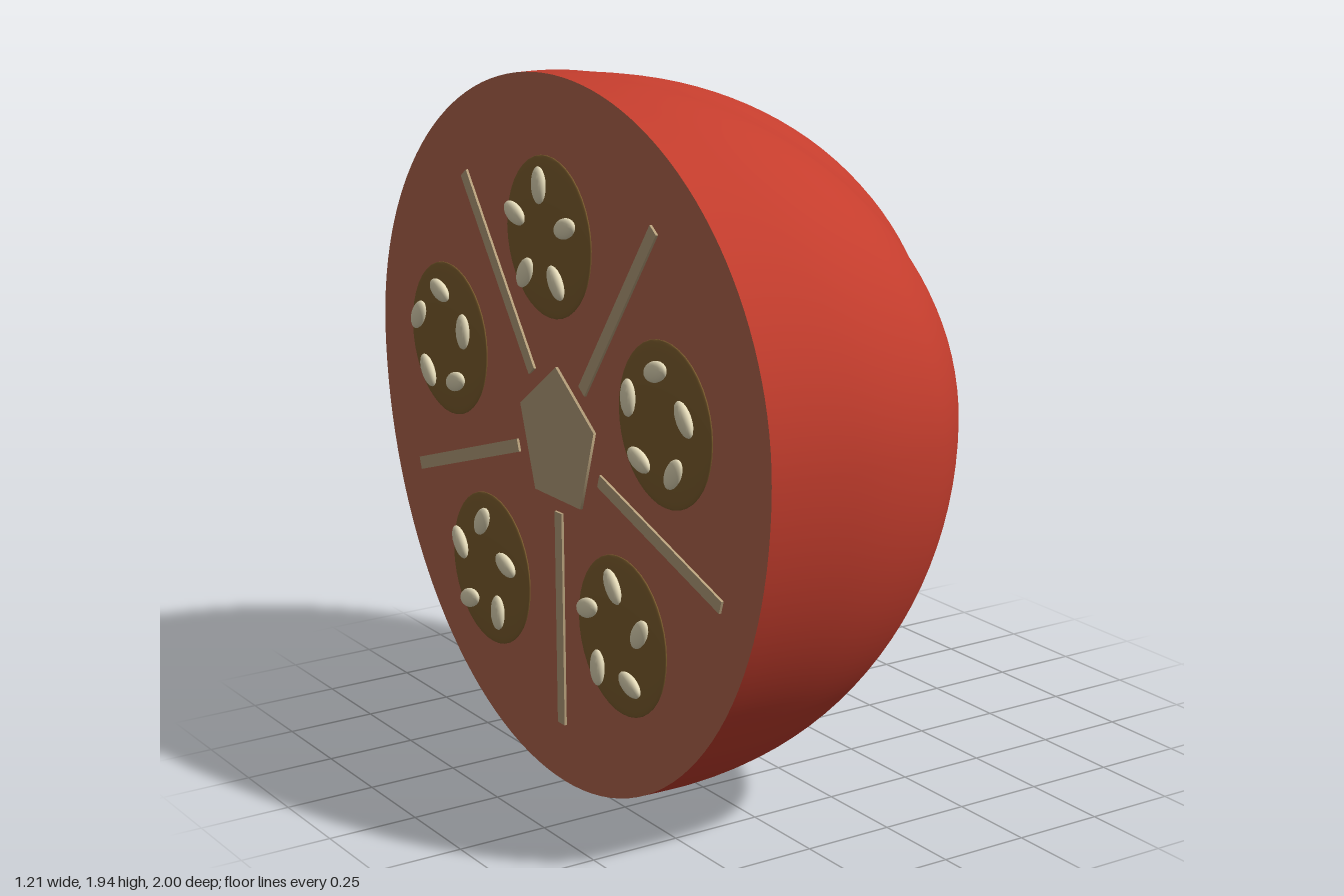
import * as THREE from 'three';

const mat = (name, color) => {
  const m = new THREE.MeshStandardMaterial({ color });
  m.name = name;
  return m;
};

const CUT_X = -0.54;
const MID_Y = 1.08; // height of the widest ring
const TOP = 0.86;
const BOTTOM = 1.08;

// Height of the skin for a latitude angle
const heightAt = (a) => MID_Y + (a > 0 ? TOP : BOTTOM) * Math.sin(a);

// Lobed half outline at the widest ring, [distance from cut, z]
function lobedOutline() {
  const half = [[0, 0.99], [0.29, 0.998], [0.49, 0.96], [0.62, 0.89], [0.75, 0.75],
    [0.83, 0.59], [0.92, 0.43], [1.05, 0.245]];
  const pts = half.map(([x, z]) => new THREE.Vector2(x, z));
  const mirrored = half.map(([x, z]) => new THREE.Vector2(x, -z)).reverse();
  return new THREE.SplineCurve([...pts, new THREE.Vector2(1.14, 0), ...mirrored]);
}

// Skin: the outline shrunk towards both poles
function skinGeometry(cols = 96, rows = 64) {
  const outline = lobedOutline().getPoints(cols);
  const pos = [];
  const idx = [];
  for (let j = 0; j <= rows; j++) {
    const a = -Math.PI / 2 + (Math.PI * j) / rows;
    const s = Math.cos(a);
    for (const p of outline) pos.push(CUT_X + p.x * s, heightAt(a), p.y * s);
  }
  const w = cols + 1;
  for (let j = 0; j < rows; j++) {
    for (let i = 0; i < cols; i++) {
      const a = j * w + i;
      const b = a + 1;
      const c = a + w;
      const d = c + 1;
      if (j > 0) idx.push(a, b, c);
      if (j < rows - 1) idx.push(b, d, c);
    }
  }
  const g = new THREE.BufferGeometry();
  g.setAttribute('position', new THREE.Float32BufferAttribute(pos, 3));
  g.setIndex(idx);
  g.computeVertexNormals();
  return g;
}

// Flat face closing the cut side
function cutGeometry(n = 128) {
  const pts = [];
  for (let i = 0; i < n; i++) {
    const t = (Math.PI * 2 * i) / n;
    pts.push(new THREE.Vector2(0.99 * Math.cos(t), heightAt(Math.asin(Math.sin(t)))));
  }
  return new THREE.ShapeGeometry(new THREE.Shape(pts));
}

export function createModel() {
  const skinMat = mat('red skin', 0xc43d2d);
  const fleshMat = mat('pale red flesh', 0xb4684f);
  const coreMat = mat('beige core', 0xb9a27d);
  const podMat = mat('brown seed pod', 0x80602f);
  const seedMat = mat('cream seed', 0xe6dcba);

  const model = new THREE.Group();
  model.name = 'halvedFruit';
  const add = (parent, name, geo, material) => {
    const m = new THREE.Mesh(geo, material);
    m.name = name;
    parent.add(m);
    return m;
  };

  add(model, 'skin', skinGeometry(), skinMat);

  // Everything on the cut is laid out in a local x/y plane facing outward (+z)
  const cut = new THREE.Group();
  cut.name = 'cutSide';
  cut.rotation.y = -Math.PI / 2;
  cut.position.x = CUT_X;
  model.add(cut);
  add(cut, 'cutFace', cutGeometry(), fleshMat);

  const CY = 0.968;
  const step = (Math.PI * 2) / 5;

  // Five-sided core
  const coreGeo = new THREE.CylinderGeometry(0.2, 0.2, 0.008, 5);
  coreGeo.rotateX(Math.PI / 2);
  coreGeo.rotateZ(Math.PI); // one corner up
  coreGeo.computeBoundingBox();
  if (coreGeo.boundingBox.max.y < 0.19) coreGeo.rotateZ(Math.PI);
  add(cut, 'core', coreGeo, coreMat).position.set(0, CY, 0.004);

  const ribGeo = new THREE.BoxGeometry(0.6, 0.036, 0.007);
  const podGeo = new THREE.SphereGeometry(1, 40, 20).scale(0.215, 0.215, 0.016);
  const seedGeo = new THREE.SphereGeometry(1, 16, 10).scale(0.05, 0.027, 0.016);

  for (let k = 0; k < 5; k++) {
    const angle = Math.PI / 2 + k * step;

    // Ribs run between the pods
    const ra = angle + step / 2;
    const rib = add(cut, 'rib', ribGeo, coreMat);
    rib.position.set(0.52 * Math.cos(ra), CY + 0.5 * Math.sin(ra), 0.0035);
    rib.rotation.z = ra;

    // Pod with a ring of five seeds
    const pod = new THREE.Group();
    pod.name = 'seedPod';
    pod.position.set(0.585 * Math.cos(angle), CY + 0.55 * Math.sin(angle), 0.022);
    cut.add(pod);
    add(pod, 'podDisc', podGeo, podMat);
    for (let j = 0; j < 5; j++) {
      const sa = Math.PI / 2 + j * step;
      const seed = add(pod, 'seed', seedGeo, seedMat);
      seed.position.set(0.135 * Math.cos(sa), 0.135 * Math.sin(sa) + 0.005, 0.028);
      seed.rotation.z = sa + k * step;
    }
  }
  return model;
}
